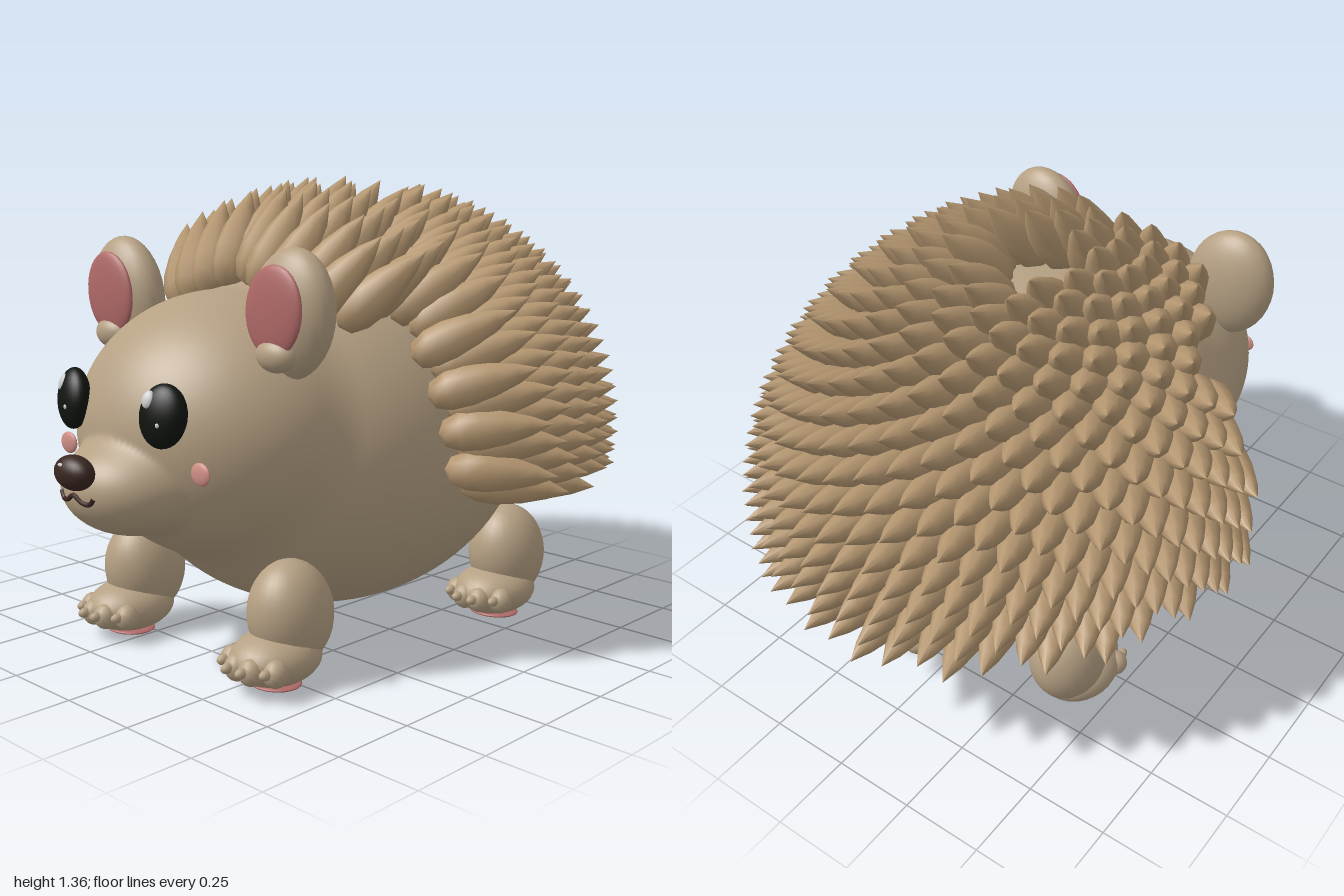
import * as THREE from 'three';
import { mergeGeometries } from 'three/addons/utils/BufferGeometryUtils.js';

const mat = (color) => new THREE.MeshStandardMaterial({ color });
const SKIN = mat(0xb5a083), QUILL = mat(0xb49670), PINK = mat(0xb06a68), BLUSH = mat(0xd08f86);
const BLACK = mat(0x11140f), BROWN = mat(0x3a2620), WHITE = mat(0xe8e8e8);

const vec = (x, y, z) => new THREE.Vector3(x, y, z);
const BODY = { c: vec(0, 0.6, 0), r: vec(0.545, 0.53, 0.68) };
const HEAD = { c: vec(0, 0.67, 0.42), r: vec(0.43, 0.385, 0.43) };
const SNOUT = { c: vec(0, 0.555, 0.755), r: vec(0.2, 0.14, 0.205) };

function ellipsoid(name, material, pos, radii, rot = [0, 0, 0], seg = 28) {
  const mesh = new THREE.Mesh(new THREE.SphereGeometry(1, seg, Math.round(seg * 0.65)), material);
  mesh.name = name;
  mesh.position.set(...pos);
  mesh.scale.set(...radii);
  mesh.rotation.set(...rot);
  return mesh;
}

// Distance along a ray to the far side of an ellipsoid (0 on a miss)
function reach(origin, dir, { c, r }) {
  const o = origin.clone().sub(c).divide(r), d = dir.clone().divide(r);
  const a = d.dot(d), b = o.dot(d), disc = b * b - a * (o.dot(o) - 1);
  return disc > 0 ? Math.max(0, (-b + Math.sqrt(disc)) / a) : 0;
}

function smoothMax(a, b, blend) {
  const h = Math.max(blend - Math.abs(a - b), 0);
  return Math.max(a, b) + h * h / (4 * blend);
}

// Body, head and snout as one smoothly joined skin
function makeBody() {
  const geo = new THREE.SphereGeometry(1, 128, 128);
  geo.rotateX(Math.PI / 2);
  const p = geo.attributes.position, origin = vec(0, 0.64, 0.3);
  for (let i = 0; i < p.count; i++) {
    const dir = vec(0, 0, 0).fromBufferAttribute(p, i);
    const trunk = smoothMax(reach(origin, dir, BODY), reach(origin, dir, HEAD), 0.04);
    dir.multiplyScalar(smoothMax(trunk, reach(origin, dir, SNOUT), 0.05)).add(origin);
    p.setXYZ(i, dir.x, dir.y, dir.z);
  }
  geo.computeVertexNormals();
  const body = new THREE.Mesh(geo, SKIN);
  body.name = 'bodyAndHead';
  return body;
}

// Quills: a spiral of teardrops over the back, swept toward the rear
function makeQuills() {
  const profile = [[0, -0.045], [0.038, -0.03], [0.057, 0.015], [0.06, 0.07], [0.049, 0.14], [0.028, 0.21], [0, 0.27]];
  const quill = new THREE.LatheGeometry(profile.map(([r, y]) => new THREE.Vector2(r, y)), 8);
  const parts = [], up = vec(0, 1, 0), total = 920;
  for (let i = 0; i < total; i++) {
    const uy = 1 - (2 * i + 1) / total, ring = Math.sqrt(1 - uy * uy), a = i * Math.PI * (3 - Math.sqrt(5));
    const unit = vec(Math.cos(a) * ring, uy, Math.sin(a) * ring);
    const normal = unit.clone().divide(BODY.r).normalize();
    const length = 1 + 0.07 * Math.max(0, -unit.z);
    const base = unit.multiply(BODY.r).add(BODY.c).addScaledVector(normal, 0.035);
    const frontLimit = base.y < 0.99 ? 0.13 : 0.38;
    const crown = Math.hypot(base.x, base.z) < 0.135;
    if (base.y < 0.5 || base.z > frontLimit || crown) continue;
    normal.z -= 0.9;
    const q = new THREE.Quaternion().setFromUnitVectors(up, normal.normalize());
    parts.push(quill.clone().applyMatrix4(new THREE.Matrix4().compose(base, q, vec(1, length, 1))));
  }
  const quills = new THREE.Mesh(mergeGeometries(parts), QUILL);
  quills.name = 'quills';
  return quills;
}

function makeEar(s) {
  const ear = new THREE.Group();
  ear.name = s > 0 ? 'leftEar' : 'rightEar';
  ear.add(
    ellipsoid('earShell', SKIN, [s * 0.345, 1.018, 0.503], [0.142, 0.177, 0.076], [0, 0, -s * 0.2]),
    ellipsoid('innerEar', PINK, [s * 0.345, 1.03, 0.57], [0.102, 0.122, 0.022], [0, 0, -s * 0.2]),
    ellipsoid('earLobe', SKIN, [s * 0.345, 0.915, 0.56], [0.066, 0.046, 0.042])
  );
  return ear;
}

function makeEye(s) {
  const eye = new THREE.Group();
  eye.name = s > 0 ? 'leftEye' : 'rightEye';
  const x = s * 0.193;
  eye.add(
    ellipsoid('eyeball', BLACK, [x, 0.77, 0.815], [0.071, 0.085, 0.04], [-0.12, s * 0.25, -s * 0.12]),
    ellipsoid('glint', WHITE, [x - 0.022, 0.815, s > 0 ? 0.845 : 0.834], [0.018, 0.024, 0.01], [-0.4, s * 0.3, 0], 14),
    ellipsoid('smallGlint', WHITE, [x + 0.018, 0.753, s > 0 ? 0.85 : 0.857], [0.007, 0.007, 0.005], [0, 0, 0], 10)
  );
  return eye;
}

// Leg with paw, toes, claws and pad, built around its own origin on the ground
function makeLeg(name, x, z, s) {
  const leg = new THREE.Group();
  leg.name = name;
  leg.add(
    ellipsoid('thigh', SKIN, [0, 0.195, -0.005], [0.114, 0.152, 0.126], [0.1, 0, 0]),
    ellipsoid('paw', SKIN, [0, 0.087, 0.052], [0.117, 0.077, 0.138]),
    ellipsoid('pad', PINK, [0, 0.014, 0.055], [0.08, 0.011, 0.068])
  );
  for (let i = 0; i < 4; i++) {
    const t = (i - 1.5) / 1.5, tx = t * 0.083, tz = 0.172 - t * t * 0.04;
    leg.add(
      ellipsoid('toe', SKIN, [tx, 0.08, tz], [0.036, 0.039, 0.036], [0, 0, 0], 16),
      ellipsoid('claw', SKIN, [tx, 0.086, tz + 0.035], [0.015, 0.015, 0.022], [0, 0, 0], 12)
    );
  }
  leg.position.set(s * x, 0, z);
  return leg;
}

// Mouth: a wavy line laid on the snout
function makeMouth() {
  const pts = [[-0.07, 0.556], [-0.055, 0.538], [-0.03, 0.54], [0, 0.556], [0.03, 0.54], [0.055, 0.538], [0.07, 0.556]]
    .map(([x, y]) => vec(x, y, SNOUT.c.z + 0.002
      + SNOUT.r.z * Math.sqrt(1 - (x / SNOUT.r.x) ** 2 - ((y - SNOUT.c.y) / SNOUT.r.y) ** 2)));
  const mouth = new THREE.Mesh(new THREE.TubeGeometry(new THREE.CatmullRomCurve3(pts), 40, 0.0065, 8), BROWN);
  mouth.name = 'mouth';
  return mouth;
}

export function createModel() {
  const model = new THREE.Group();
  model.name = 'hedgehog';
  model.add(
    makeBody(),
    makeQuills(),
    ellipsoid('nose', BROWN, [0, 0.615, 0.957], [0.07, 0.047, 0.042]),
    ellipsoid('noseGlint', WHITE, [-0.012, 0.638, 0.988], [0.015, 0.006, 0.006], [-0.5, 0, 0], 10),
    makeMouth(),
    ellipsoid('tail', SKIN, [0, 0.205, -0.575], [0.06, 0.057, 0.105])
  );
  for (const s of [1, -1]) {
    const side = s > 0 ? 'left' : 'right';
    model.add(
      makeEar(s),
      makeEye(s),
      ellipsoid(side + 'Cheek', BLUSH, [s * 0.285, 0.625, 0.772], [0.036, 0.031, 0.01], [0, 0, 0], 16),
      makeLeg(side + 'FrontLeg', 0.318, 0.493, s),
      makeLeg(side + 'BackLeg', 0.385, -0.397, s)
    );
  }
  return model;
}
